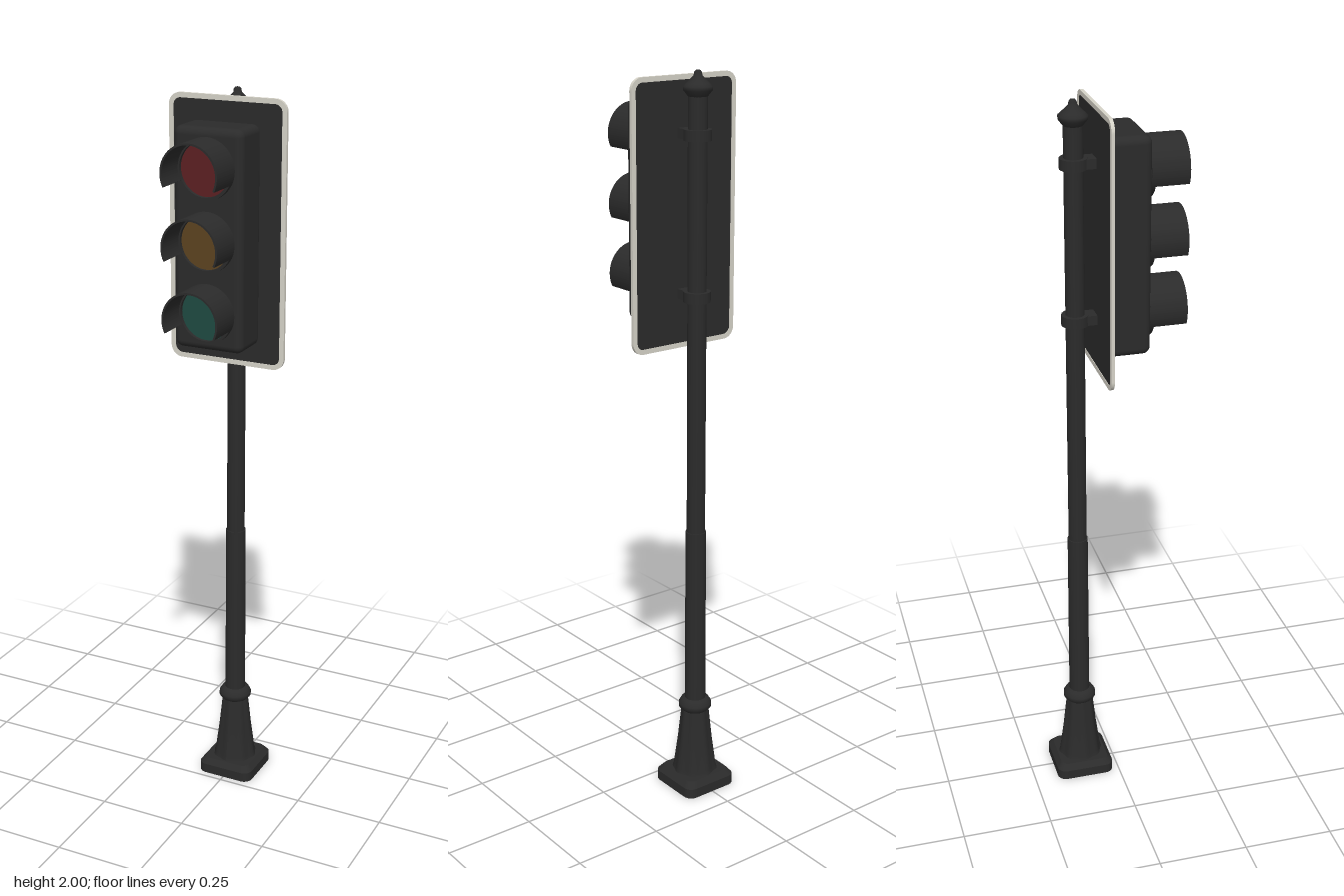
import * as THREE from 'three';
import { RoundedBoxGeometry } from 'three/addons/geometries/RoundedBoxGeometry.js';

const POLE_Z = -0.1;
const PLATE_Y = 1.632;

const paint = (name, color) => {
  const m = new THREE.MeshStandardMaterial({ color });
  m.name = name;
  return m;
};

// Rounded rectangle centred on the origin
function roundedRect(w, h, r, Type = THREE.Shape) {
  const s = new Type(), x = w / 2, y = h / 2;
  s.absarc(x - r, y - r, r, 0, Math.PI / 2);
  s.absarc(r - x, y - r, r, Math.PI / 2, Math.PI);
  s.absarc(r - x, r - y, r, Math.PI, Math.PI * 1.5);
  s.absarc(x - r, r - y, r, Math.PI * 1.5, Math.PI * 2);
  s.closePath();
  return s;
}

const extrude = (shape, depth, curveSegments = 8) =>
  new THREE.ExtrudeGeometry(shape, { depth, bevelEnabled: false, curveSegments });

// Slab lying on its base, its top shrunk by the given factor
function slab(size, height, radius, topScale) {
  const g = extrude(roundedRect(size, size, radius), height).rotateX(-Math.PI / 2);
  const p = g.attributes.position;
  for (let i = 0; i < p.count; i++) {
    if (p.getY(i) > height / 2) p.setXYZ(i, p.getX(i) * topScale, p.getY(i), p.getZ(i) * topScale);
  }
  g.computeVertexNormals();
  return g;
}

// Curved wall between two radii, swept from angle a to angle b
function arcWall(outer, inner, a, b, depth) {
  const s = new THREE.Shape();
  s.absarc(0, 0, outer, a, b, false);
  s.absarc(0, 0, inner, b, a, true);
  s.closePath();
  return extrude(s, depth, 28);
}

const lathe = (pts, sides) =>
  new THREE.LatheGeometry(pts.map(([x, y]) => new THREE.Vector2(x, y)), sides);

export function createModel() {
  const group = new THREE.Group();
  const black = paint('black metal', 0x2b2b2b);
  const white = paint('white border', 0xd6d3c8);
  const lamps = [
    ['red', paint('red lens', 0x5c2022), 1.82],
    ['amber', paint('amber lens', 0x5c4320), 1.633],
    ['green', paint('green lens', 0x1f4a41), 1.446],
  ];
  const add = (name, geometry, material, x = 0, y = 0, z = 0, parent = group) => {
    const m = new THREE.Mesh(geometry, material);
    m.name = name;
    m.position.set(x, y, z);
    parent.add(m);
    return m;
  };

  // Square plinth with a sloped upper edge
  add('plinth', slab(0.165, 0.028, 0.025, 1), black, 0, 0, POLE_Z);
  add('plinthTop', slab(0.165, 0.016, 0.025, 0.84), black, 0, 0.028, POLE_Z);

  // Gently fluted, tapering pedestal
  const pedestal = lathe([[0.063, 0.04], [0.058, 0.055], [0.047, 0.14], [0.037, 0.235]], 48);
  const p = pedestal.attributes.position;
  for (let i = 0; i < p.count; i++) {
    const k = 1 + 0.035 * Math.cos(8 * Math.atan2(p.getZ(i), p.getX(i)));
    p.setXYZ(i, p.getX(i) * k, p.getY(i), p.getZ(i) * k);
  }
  pedestal.computeVertexNormals();
  add('pedestal', pedestal, black, 0, 0, POLE_Z);
  add('pedestalCollar', lathe([[0.036, 0.23], [0.046, 0.241], [0.046, 0.252], [0.038, 0.265], [0.026, 0.269]], 24),
    black, 0, 0, POLE_Z);

  // Two-stage pole and pointed finial
  add('lowerPole', new THREE.CylinderGeometry(0.028, 0.029, 0.51, 20), black, 0, 0.515, POLE_Z);
  add('upperPole', new THREE.CylinderGeometry(0.025, 0.025, 1.18, 20), black, 0, 1.36, POLE_Z);
  add('finial', lathe([[0.025, 1.935], [0.037, 1.95], [0.038, 1.96], [0.03, 1.967], [0.011, 1.986],
    [0.01, 1.994], [0.006, 1.999], [0, 2]], 24), black, 0, 0, POLE_Z);

  // Clamps holding the backplate to the pole
  for (const y of [1.84, 1.425]) {
    const clamp = new THREE.Group();
    clamp.name = 'clamp';
    clamp.position.set(0, y, POLE_Z);
    group.add(clamp);
    add('clampRing', new THREE.CylinderGeometry(0.036, 0.036, 0.028, 24), black, 0, 0, 0, clamp);
    add('clampArm', new THREE.BoxGeometry(0.044, 0.026, 0.056), black, 0, 0, 0.03, clamp);
  }

  // Backplate with a pale rim
  const rim = roundedRect(0.332, 0.706, 0.032);
  rim.holes.push(roundedRect(0.306, 0.68, 0.02, THREE.Path));
  add('backplate', extrude(roundedRect(0.308, 0.682, 0.021), 0.006), black, 0, PLATE_Y, -0.046);
  add('backplateRim', extrude(rim, 0.009), white, 0, PLATE_Y, -0.0475);

  // Signal housing
  add('housing', new RoundedBoxGeometry(0.194, 0.576, 0.12, 4, 0.02), black, 0, 1.633, 0.018);

  // Three lamps, each with a lens, a ring and a cutaway hood
  for (const [name, material, y] of lamps) {
    const lamp = new THREE.Group();
    lamp.name = name + 'Lamp';
    lamp.position.set(0, y, 0);
    group.add(lamp);
    add('lens', new THREE.CylinderGeometry(0.071, 0.071, 0.01, 32).rotateX(Math.PI / 2), material, 0, 0, 0.077, lamp);
    add('lensRing', arcWall(0.078, 0.07, 0, Math.PI * 2, 0.022), black, 0, 0, 0.07, lamp);
    add('hood', arcWall(0.079, 0.074, -0.46, Math.PI + 0.46, 0.1), black, 0, 0, 0.08, lamp);
  }

  return group;
}
